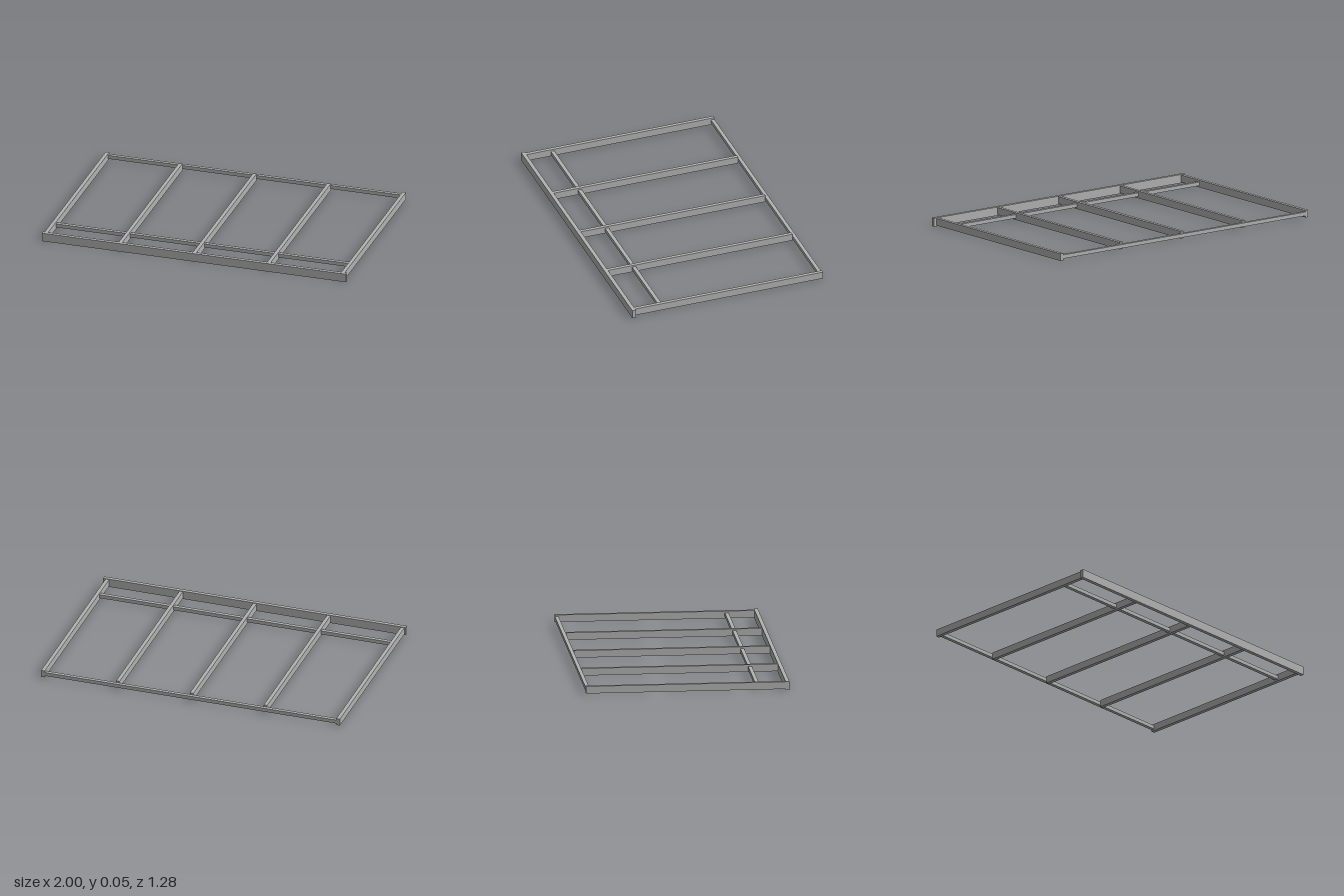
import * as THREE from 'three';

export function createModel() {
  const group = new THREE.Group();
  const steel = new THREE.MeshStandardMaterial({ color: 0xb2b2b2 });
  steel.name = 'grey steel';

  // Box beam given by its minimum and maximum on each axis
  const beam = (name, [x0, x1], [y0, y1], [z0, z1]) => {
    const mesh = new THREE.Mesh(new THREE.BoxGeometry(x1 - x0, y1 - y0, z1 - z0), steel);
    mesh.position.set((x0 + x1) / 2, (y0 + y1) / 2, (z0 + z1) / 2);
    mesh.name = name;
    group.add(mesh);
  };

  // Front fascia, slightly taller and wider than the rest of the frame
  beam('frontBeam', [-1, 1], [0, 0.055], [0.616, 0.64]);

  // Five evenly spaced joists; the outer two run to the back edge
  const spacing = 0.488, half = 0.0115;
  for (let i = -2; i <= 2; i++) {
    const x = -0.004 + i * spacing;
    const outer = Math.abs(i) === 2;
    beam(outer ? 'sideBeam' : 'joist', [x - half, x + half], [0.006, 0.052], [outer ? -0.64 : -0.618, 0.616]);
  }

  // Slim square rails at mid height, fitted between the joists
  const railHeight = [0.017, 0.041];
  beam('backRail', [-0.98, 0.972], railHeight, [-0.64, -0.617]);
  for (let i = -2; i < 2; i++) {
    const x = -0.004 + i * spacing;
    beam('crossRail', [x + half, x + spacing - half], railHeight, [0.429, 0.453]);
  }
  return group;
}
